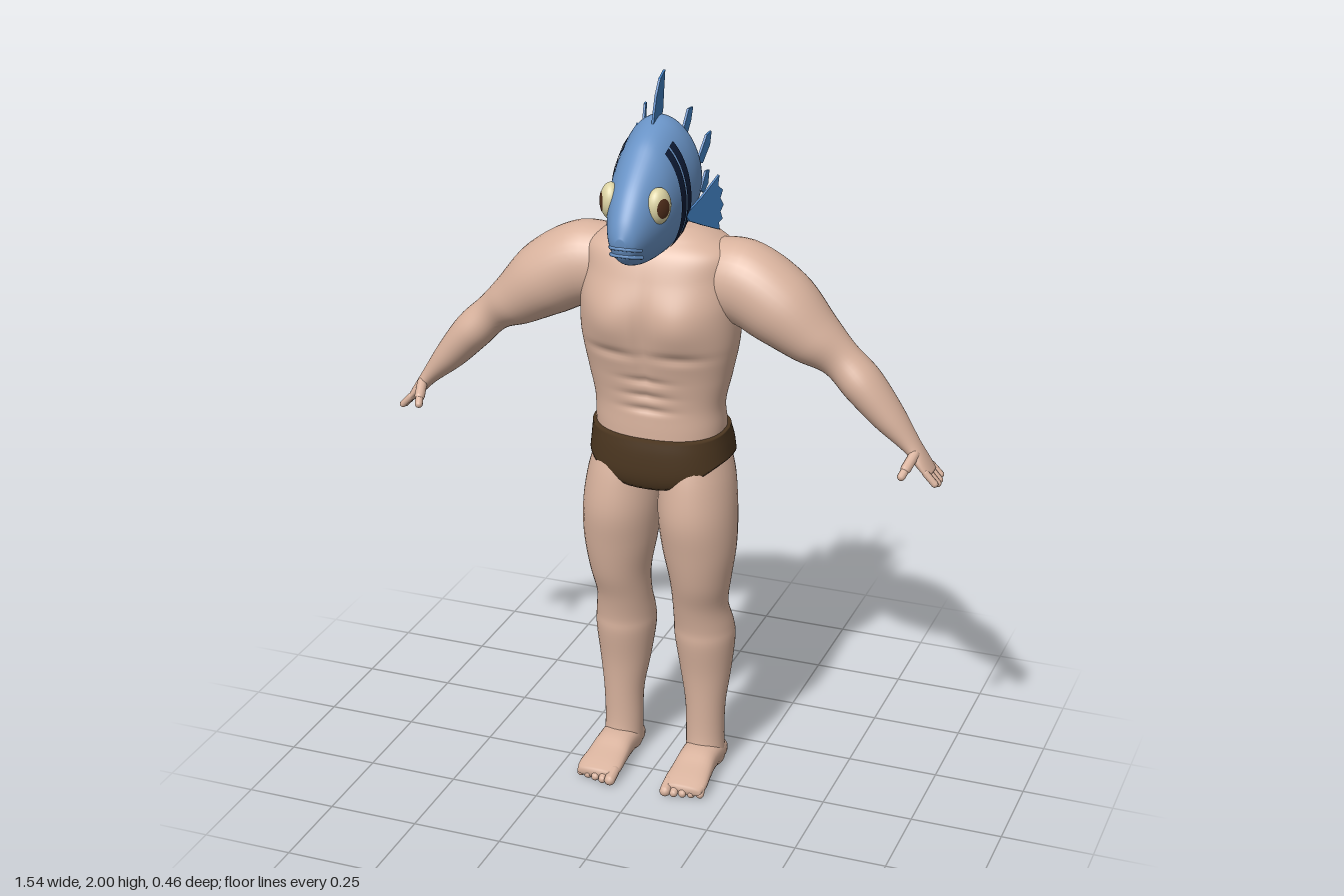
import * as THREE from 'three';

const mat = (name, color) => Object.assign(new THREE.MeshStandardMaterial({ color }), { name });

// Catmull-Rom through rows of numbers, t runs from 0 to rows - 1
function spline(rows, t) {
  const i = Math.min(Math.floor(t), rows.length - 2), f = t - i;
  const at = k => rows[Math.max(0, Math.min(rows.length - 1, k))];
  const [a, b, c, d] = [at(i - 1), at(i), at(i + 1), at(i + 2)];
  return b.map((_, k) => b[k] + 0.5 * f * (c[k] - a[k] + f * (2 * a[k] - 5 * b[k] + 4 * c[k] - d[k]
    + f * (3 * (b[k] - c[k]) + d[k] - a[k]))));
}

// Grid surface from fn(u, angle); closed surfaces get capped ends and outward faces
function surface(fn, u0, u1, nu, nv, a0 = 0, a1 = Math.PI * 2, closed = true) {
  const p = [], idx = [], cols = closed ? nv : nv + 1;
  for (let i = 0; i <= nu; i++)
    for (let j = 0; j < cols; j++) p.push(...fn(u0 + (u1 - u0) * i / nu, a0 + (a1 - a0) * j / nv));
  for (let i = 0; i < nu; i++)
    for (let j = 0; j < nv; j++) {
      const k = (j + 1) % cols, a = i * cols + j, b = i * cols + k;
      idx.push(a, b, a + cols, b, b + cols, a + cols);
    }
  if (closed) {
    for (const row of [0, nu]) {
      const c = [0, 0, 0], n = p.length / 3;
      for (let j = 0; j < cols; j++) for (let k = 0; k < 3; k++) c[k] += p[(row * cols + j) * 3 + k] / cols;
      p.push(...c);
      for (let j = 0; j < cols; j++) {
        const a = row * cols + j, b = row * cols + (j + 1) % cols;
        row ? idx.push(a, b, n) : idx.push(b, a, n);
      }
    }
    let vol = 0;
    const v = i => new THREE.Vector3(p[i * 3], p[i * 3 + 1], p[i * 3 + 2]);
    for (let i = 0; i < idx.length; i += 3) vol += v(idx[i]).dot(v(idx[i + 1]).cross(v(idx[i + 2])));
    if (vol < 0) idx.reverse();
  }
  const g = new THREE.BufferGeometry();
  g.setAttribute('position', new THREE.Float32BufferAttribute(p, 3));
  g.setIndex(idx);
  g.computeVertexNormals();
  return g;
}

const spow = (v, e) => Math.sign(v) * Math.abs(v) ** e;
const bump = (v, c, w) => Math.exp(-(((v - c) / w) ** 2));

// Profiles: [y, half width, front z, back z]
const TORSO = [[.95, .17, .05, -.2], [1.05, .178, .05, -.185], [1.12, .178, .05, -.165], [1.2, .195, .062, -.18],
  [1.3, .213, .082, -.203], [1.4, .213, .09, -.21], [1.48, .205, .07, -.205], [1.54, .2, .045, -.19],
  [1.575, .15, .012, -.18], [1.6, .1, -.02, -.16]];
const HIPS = [[1.05, .186, .06, -.197], [1, .192, .066, -.222], [.95, .198, .068, -.226], [.9, .207, .069, -.212],
  [.85, .212, .07, -.195]];
// [y, inner x, outer x, front z, back z]
const LEG = [[.98, .01, .18, .04, -.2], [.9, .002, .202, .06, -.2], [.8, .002, .214, .07, -.185],
  [.7, .013, .214, .055, -.166], [.6, .032, .2, .033, -.15], [.52, .035, .188, .006, -.152],
  [.45, .032, .197, -.01, -.18], [.4, .033, .2, -.013, -.188], [.3, .048, .19, -.03, -.172],
  [.2, .065, .178, -.038, -.15], [.1, .068, .175, -.04, -.148], [.03, .07, .178, -.03, -.155], [.012, .08, .17, -.04, -.145]];
// [z, inner x, outer x, top y, bottom y]
const FOOT = [[-.15, .085, .165, .05, .015], [-.12, .07, .178, .08, .006], [-.03, .07, .178, .085, .008],
  [.03, .068, .183, .066, .012], [.08, .066, .188, .052, .012], [.115, .072, .182, .04, .014]];
// [x, y, z, slope angle, in-plane radius, z radius]
const ARM = [[.1, 1.46, -.085, 0, .1, .09], [.22, 1.46, -.078, -.15, .113, .105], [.33, 1.403, -.076, -.5, .103, .107],
  [.42, 1.33, -.076, -.68, .075, .085], [.488, 1.282, -.078, -.75, .054, .058], [.55, 1.222, -.078, -.82, .054, .064],
  [.62, 1.142, -.08, -.85, .043, .053], [.685, 1.07, -.08, -.88, .024, .035], [.715, 1.032, -.08, -.9, .017, .04],
  [.74, 1, -.08, -.9, .011, .039]];
// [top z, top y, bottom z, bottom y, half width]
const HEAD = [[.233, 1.645, .228, 1.61, .014], [.213, 1.693, .212, 1.582, .037], [.168, 1.757, .17, 1.558, .06],
  [.1, 1.822, .1, 1.543, .083], [.05, 1.86, 0, 1.54, .095], [-.02, 1.889, -.07, 1.56, .102], [-.055, 1.892, -.125, 1.585, .1]];
const GILL = [[-.05, 1.885, -.12, 1.592, .094], [-.066, 1.875, -.14, 1.602, .085], [-.08, 1.84, -.145, 1.64, .06],
  [-.1, 1.78, -.128, 1.7, .025]];

function headPoint(rows, u, a, off = 0) {
  const [zt, yt, zb, yb, w] = spline(rows, u), c = Math.cos(a), m = (1 + c) / 2;
  return [(w + off) * Math.sin(a), yb + (yt - yb) * m + off * c, zb + (zt - zb) * m];
}

function torsoPoint(u, a) {
  const [y, rx, zf, zb] = spline(TORSO, u), c = Math.cos(a);
  const x = rx * spow(Math.sin(a), .85);
  let z = (zf + zb) / 2 + (zf - zb) / 2 * spow(c, .85);
  const ax = Math.abs(x);
  if (c > 0) { // chest and stomach muscles
    z += .018 * bump(ax, .095, .075) * bump(y, 1.36, .075) - .008 * bump(y, 1.275, .014) * bump(ax, .09, .07);
    z -= .009 * bump(x, 0, .012) * bump(y, 1.3, .13);
    for (const r of [1.115, 1.155, 1.2]) z -= .008 * bump(y, r, .01) * bump(x, 0, .06);
  } else { // spine and shoulder blades
    z += .022 * bump(x, 0, .02) * bump(y, 1.32, .2) - .008 * bump(ax, .1, .05) * bump(y, 1.42, .1);
  }
  return [x, y, z];
}

function briefsPoint(v, a) {
  const c = Math.cos(a), s = Math.sin(a);
  const low = c > 0 ? .965 - .075 * c ** 3 : .965 - .105 * Math.abs(c) ** 3;
  const top = 1.045 - .012 * Math.max(c, 0), y = top + (low - top) * v;
  const [, rx, zf, zb] = spline(HIPS, (1.05 - y) / .05);
  const pull = 1 - .12 * v ** 6 * c ** 4;
  return [rx * spow(s, .82), y, (zf + zb) / 2 + (zf - zb) / 2 * spow(c, .82) * pull];
}

export function createModel() {
  const group = new THREE.Group();
  group.name = 'fishHeadedMan';
  const skin = mat('skin', 0xd9b39e), blue = mat('scaleBlue', 0x6993c6), fin = mat('finBlue', 0x3f7cbc),
    pink = mat('gillPink', 0xc96c66), brown = mat('briefsBrown', 0x4b3620), navy = mat('stripeNavy', 0x0e1b35),
    cream = mat('eyeCream', 0xdcd3a4), iris = mat('irisBrown', 0x4f2d1a);
  navy.side = THREE.DoubleSide;
  const add = (name, geo, material) => {
    const m = new THREE.Mesh(geo, material);
    m.name = name;
    group.add(m);
    return m;
  };
  // Rounded finger or toe between two points
  const digit = (name, a, b, r) => {
    const p = new THREE.Vector3(...a), d = new THREE.Vector3(...b).sub(p);
    const m = add(name, new THREE.CapsuleGeometry(r, d.length(), 4, 10), skin);
    m.position.copy(p).addScaledVector(d, .5);
    m.quaternion.setFromUnitVectors(new THREE.Vector3(0, 1, 0), d.normalize());
  };
  // Thin fin outlined in (backward, y), placed sideways by lean(backward)
  const finPlate = (name, pts, lean) => {
    const g = new THREE.ExtrudeGeometry(new THREE.Shape(pts.map(p => new THREE.Vector2(...p))),
      { depth: .006, bevelEnabled: false });
    const p = g.attributes.position;
    for (let i = 0; i < p.count; i++) {
      const a = p.getX(i);
      p.setXYZ(i, lean(a) + p.getZ(i) - .003, p.getY(i), -a);
    }
    g.computeVertexNormals();
    add(name, g, fin);
  };

  // Body
  add('torso', surface(torsoPoint, 0, TORSO.length - 1, 110, 96), skin);
  add('briefs', surface(briefsPoint, 0, 1, 16, 72), brown);

  // Head
  add('head', surface((u, a) => headPoint(HEAD, u, a), 0, 6, 48, 48), blue);
  add('gillOpening', surface((u, a) => headPoint(GILL, u, a), 0, 3, 15, 40), pink);
  for (const [i, y] of [1.618, 1.597].entries()) {
    const k = i * .006;
    const path = [[-.042, y - .008, .192 - k], [-.026, y, .22 - k], [0, y + .003, .229 - k], [.026, y, .22 - k],
      [.042, y - .008, .192 - k]].map(p => new THREE.Vector3(...p));
    add('lip', new THREE.TubeGeometry(new THREE.CatmullRomCurve3(path), 24, .005, 8), blue);
  }
  finPlate('dorsalFin', [[-.01, 1.86], [.005, 1.91], [.02, 1.95], [.045, 1.985], [.08, 2], [.072, 1.95], [.065, 1.9], [.05, 1.87]], () => 0);

  for (const s of [1, -1]) {
    // Legs and feet
    add('leg', surface((u, a) => {
      const [y, xi, xo, zf, zb] = spline(LEG, u);
      return [s * ((xi + xo) / 2 + (xo - xi) / 2 * Math.sin(a)), y, (zf + zb) / 2 + (zf - zb) / 2 * Math.cos(a)];
    }, 0, LEG.length - 1, 60, 36), skin);
    add('foot', surface((u, a) => {
      const [z, xi, xo, yt, yb] = spline(FOOT, u);
      return [s * ((xi + xo) / 2 + (xo - xi) / 2 * spow(Math.sin(a), .8)), (yt + yb) / 2 + (yt - yb) / 2 * spow(Math.cos(a), .8), z];
    }, 0, FOOT.length - 1, 20, 28), skin);
    for (let i = 0; i < 5; i++) {
      const x = s * (.082 + i * .0235), r = i ? .012 : .016;
      digit('toe', [x, .03, .09], [x, r + .004, .124 - i * .006 - (i ? 0 : .002)], r);
    }

    // Arms and hands
    add('arm', surface((u, a) => {
      const [x, y, z, t, r, rz] = spline(ARM, u), c = Math.cos(a) * r;
      return [s * (x - Math.sin(t) * c), y + Math.cos(t) * c, z + rz * Math.sin(a)];
    }, 0, ARM.length - 1, 54, 36), skin);
    for (let i = 0; i < 4; i++) {
      const z = -.05 - i * .0205, k = [.006, 0, .002, .008][i];
      digit('finger', [s * .733, 1.01, z], [s * (.762 - k * .5), .977 + k, z], .0095);
    }
    digit('thumb', [s * .7, 1.055, -.055], [s * .69, 1.03, -.015], .014);
    digit('thumbTip', [s * .69, 1.03, -.015], [s * .684, 1.015, .005], .011);

    // Eyes
    const eye = add('eye', new THREE.SphereGeometry(1, 28, 20), cream);
    eye.scale.set(.037, .048, .028);
    eye.position.set(s * .064, 1.71, .13);
    eye.rotation.y = s * 1.2;
    const pupil = add('iris', new THREE.SphereGeometry(1, 28, 6, 0, Math.PI * 2, 0, .55)
      .rotateX(Math.PI / 2).rotateY(-s * .25), iris);
    pupil.scale.copy(eye.scale).multiplyScalar(1.03);
    pupil.position.copy(eye.position);
    pupil.rotation.copy(eye.rotation);

    // Paired cheek stripes
    for (const [u0, u1] of [[3.72, 4.06], [4.13, 4.42]])
      add('stripe', surface((u, a) => {
        const p = headPoint(HEAD, u, a, .003);
        return [s * p[0], p[1], p[2]];
      }, u0, u1, 4, 28, .62, 2.55, false), navy);

    // Side fin with a scalloped edge, and small rim spines
    finPlate('sideFin', [[-.005, 1.65], [.05, 1.682], [.112, 1.728], [.108, 1.7], [.125, 1.685], [.116, 1.665], [.128, 1.645],
      [.117, 1.628], [.125, 1.607], [.112, 1.6], [.115, 1.58], [.06, 1.605], [.01, 1.63]], a => s * (.09 + .42 * a));
    finPlate('spine', [[.06, 1.835], [.095, 1.9], [.115, 1.9], [.105, 1.865], [.085, 1.83]], a => s * (.04 + .2 * a));
    finPlate('spine', [[.085, 1.765], [.13, 1.825], [.152, 1.83], [.145, 1.795], [.11, 1.755]], a => s * (.07 + .2 * a));
    finPlate('spine', [[.085, 1.69], [.11, 1.735], [.125, 1.735], [.12, 1.7], [.1, 1.68]], a => s * (.08 + .2 * a));
  }
  return group;
}
